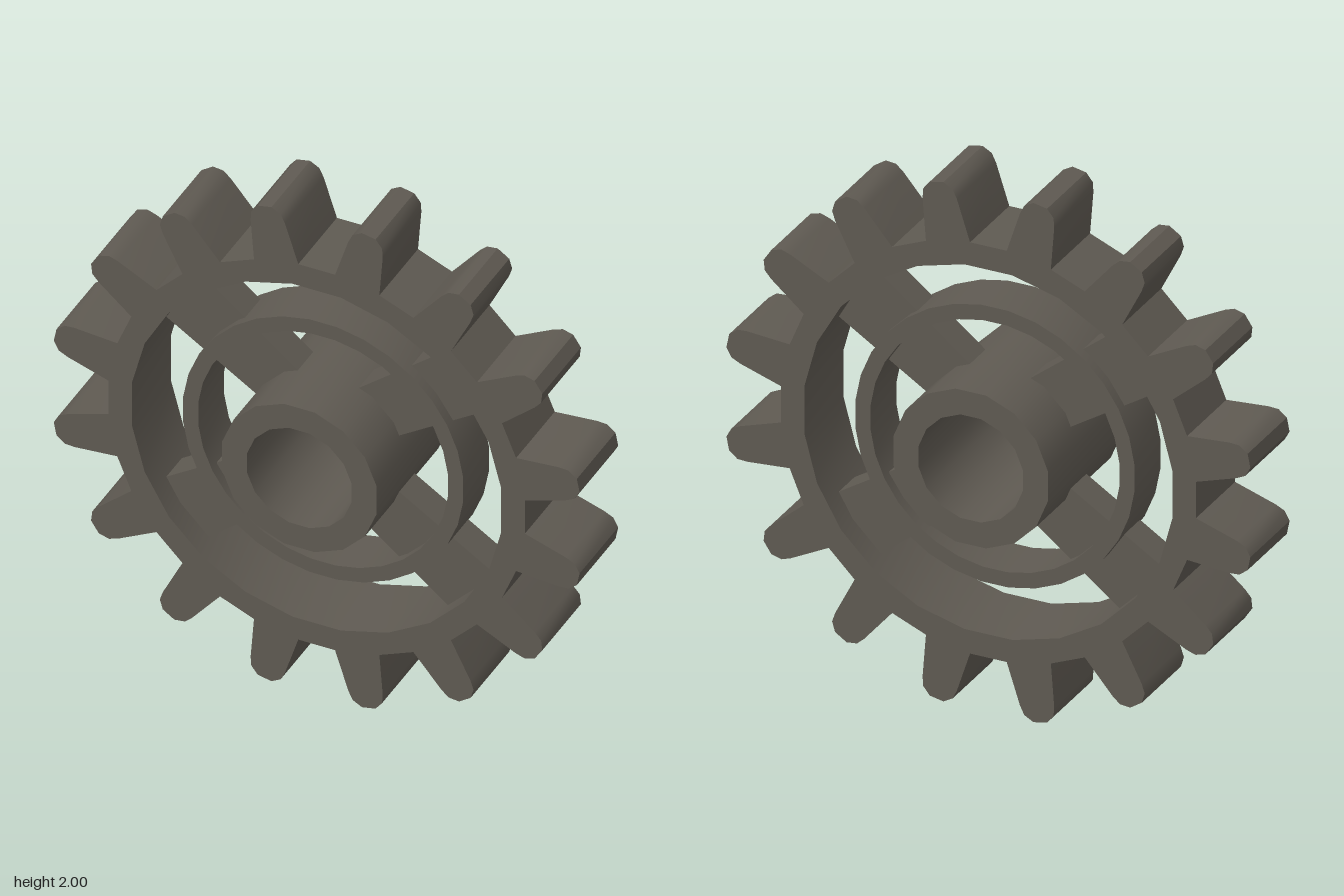
import * as THREE from 'three';
import { toCreasedNormals } from 'three/addons/utils/BufferGeometryUtils.js';

const DEG = Math.PI / 180;
const polar = (r, a) => new THREE.Vector2(r * Math.cos(a), r * Math.sin(a));

// Counter-clockwise regular polygon with a flat side at the top
function ringPoints(r, sides) {
  return Array.from({ length: sides }, (_, i) => polar(r, ((i + 0.5) / sides) * Math.PI * 2));
}

export function createModel() {
  const iron = new THREE.MeshStandardMaterial({ color: 0x5f5a52 });
  iron.name = 'darkIron';

  const gear = new THREE.Group();
  gear.name = 'gear';
  gear.position.y = 1;

  // Extrudes an outline, centred on z = 0
  function addPlate(name, outline, hole, depth) {
    const shape = new THREE.Shape(outline);
    if (hole) shape.holes.push(new THREE.Path(hole));
    const geo = new THREE.ExtrudeGeometry(shape, { depth, bevelEnabled: false });
    geo.translate(0, 0, -depth / 2);
    const mesh = new THREE.Mesh(toCreasedNormals(geo, 0.7), iron);
    mesh.name = name;
    gear.add(mesh);
  }

  // Toothed rim: [angle from tooth centre, radius]
  const tooth = [[-6.2, 0.795], [-4, 0.955], [-3.3, 0.99], [-1.5, 1.0145],
    [1.5, 1.0145], [3.3, 0.99], [4, 0.955], [6.2, 0.795]];
  const teeth = [];
  for (let i = 0; i < 16; i++) {
    for (const [a, r] of tooth) teeth.push(polar(r, (11.25 + i * 22.5 + a) * DEG));
  }
  addPlate('toothedRim', teeth, ringPoints(0.708, 24), 0.3);

  // Hub with bore, and the thin ring between hub and rim
  addPlate('hub', ringPoints(0.3, 16), ringPoints(0.203, 16), 0.57);
  addPlate('middleRing', ringPoints(0.535, 32), ringPoints(0.477, 32), 0.2);

  // Four spokes, mirrored left-right and up-down
  const spoke = [[0.24, 0.1], [0.62, 0.34], [0.49, 0.565], [0.09, 0.25]];
  for (const sx of [1, -1]) {
    for (const sy of [1, -1]) {
      const name = (sy > 0 ? 'upper' : 'lower') + (sx > 0 ? 'Left' : 'Right') + 'Spoke';
      addPlate(name, spoke.map(([x, y]) => new THREE.Vector2(x * sx, y * sy)), null, 0.12);
    }
  }

  const model = new THREE.Group();
  model.name = 'gearModel';
  model.add(gear);
  return model;
}
